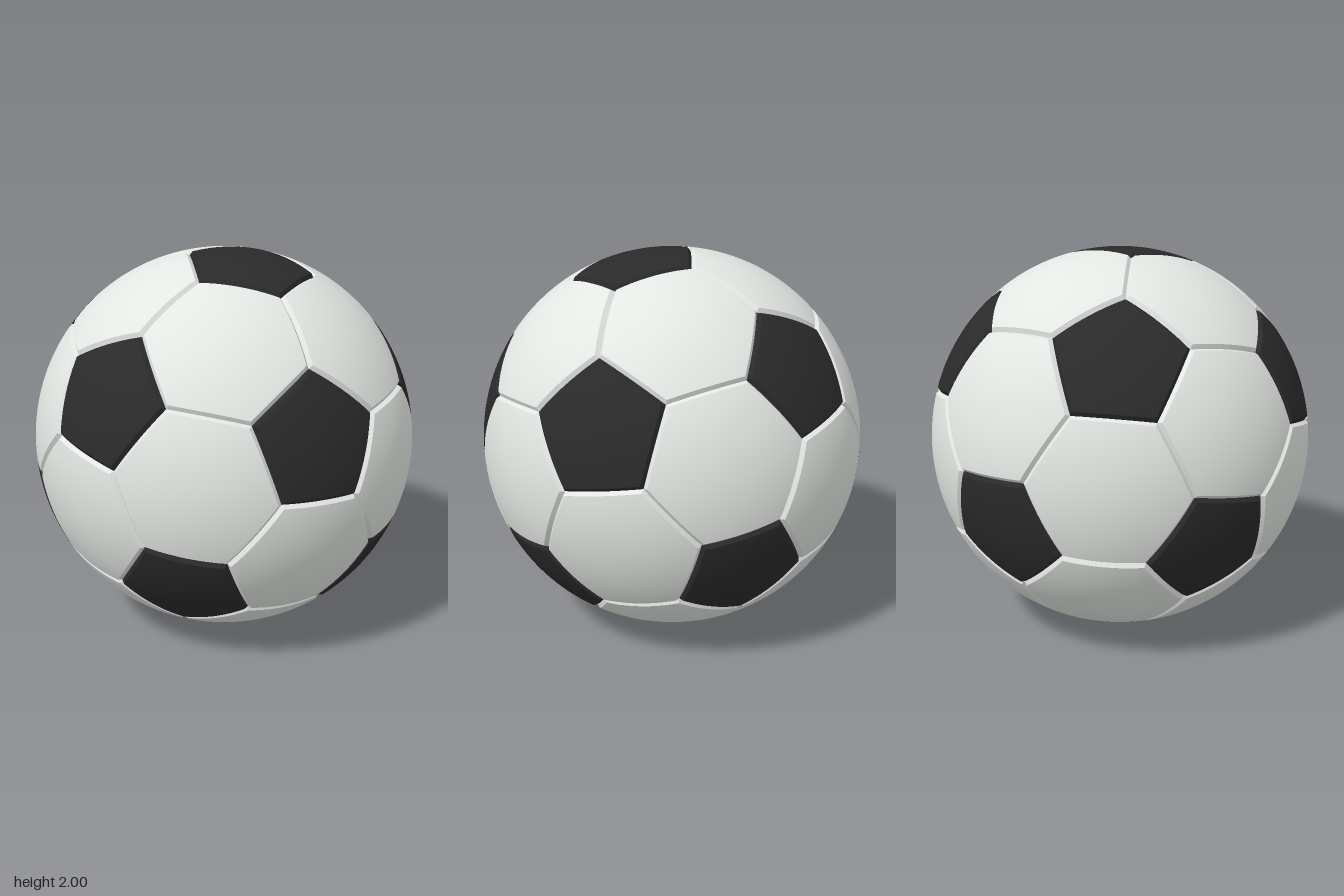
import * as THREE from 'three';
import { mergeGeometries } from 'three/addons/utils/BufferGeometryUtils.js';

const PHI = (1 + Math.sqrt(5)) / 2;
const GROOVE_HALF = 0.018, GROOVE_DEPTH = 0.018;
const STEPS = 10; // subdivisions along each panel side

// Twelve icosahedron vertices, tilted to the resting pose of the ball
function icosahedronVertices() {
  const u = new THREE.Vector3(0.1364, 0.83, 0.541).normalize();
  const v = new THREE.Vector3(0.147, 0.523, -0.84);
  v.addScaledVector(u, -v.dot(u)).normalize();
  const pose = new THREE.Matrix4().makeBasis(v.clone().cross(u), v, u);
  const verts = [];
  for (const a of [1, -1]) for (const b of [PHI, -PHI]) {
    verts.push([0, a, b], [a, b, 0], [b, 0, a]);
  }
  return verts.map(p => new THREE.Vector3(...p).normalize().applyMatrix4(pose));
}

// Corners sorted counter-clockwise around the outward direction
function sortAround(center, corners) {
  const x = corners[0].clone().addScaledVector(center, -corners[0].dot(center)).normalize();
  const y = center.clone().cross(x);
  const angle = p => Math.atan2(p.dot(y), p.dot(x));
  return corners.slice().sort((p, q) => angle(p) - angle(q));
}

// Curved strip of one panel side; each ring is [fraction from centre to seam, radius]
function sideStrip(center, from, to, rings, spherical) {
  const pos = [], nor = [], index = [];
  rings.forEach(([t, r], i) => {
    for (let j = 0; j <= STEPS; j++) {
      const p = center.clone().lerp(from.clone().lerp(to, j / STEPS), t).normalize();
      nor.push(p.x, p.y, p.z);
      p.multiplyScalar(r);
      pos.push(p.x, p.y, p.z);
      if (i === 0 || j === STEPS) continue;
      const o = i * (STEPS + 1) + j, n = o - STEPS - 1;
      if (rings[i - 1][0] > 0) index.push(n, o + 1, n + 1);
      index.push(n, o, o + 1);
    }
  });
  const g = new THREE.BufferGeometry();
  g.setAttribute('position', new THREE.Float32BufferAttribute(pos, 3));
  g.setAttribute('normal', new THREE.Float32BufferAttribute(nor, 3));
  g.setIndex(index);
  if (!spherical) g.computeVertexNormals();
  return g;
}

// One stitched panel: spherical cap plus a bevel running down into the seam
function panelGeometry(corners) {
  const center = new THREE.Vector3();
  corners.forEach(c => center.add(c));
  center.divideScalar(corners.length);
  const sorted = sortAround(center.clone().normalize(), corners);
  const apothem = sorted[0].clone().add(sorted[1]).multiplyScalar(0.5).distanceTo(center);
  const edge = 1 - GROOVE_HALF / apothem;
  const cap = [];
  for (let i = 0; i <= STEPS; i++) cap.push([edge * i / STEPS, 1]);
  const bevel = [[edge, 1], [1, 1 - GROOVE_DEPTH]];
  const parts = [];
  sorted.forEach((a, k) => {
    const b = sorted[(k + 1) % sorted.length];
    parts.push(sideStrip(center, a, b, cap, true), sideStrip(center, a, b, bevel, false));
  });
  return mergeGeometries(parts);
}

export function createModel() {
  const white = new THREE.MeshStandardMaterial({ color: 0xe4e8e4 });
  white.name = 'white leather';
  const black = new THREE.MeshStandardMaterial({ color: 0x2a2a2a });
  black.name = 'black leather';

  const ball = new THREE.Group();
  ball.name = 'ball';
  ball.position.y = 1;

  const verts = icosahedronVertices();
  const near = (a, b) => a !== b && a.dot(b) > 0.4;
  const corner = (a, b) => a.clone().multiplyScalar(2).add(b).normalize();
  const addPanel = (name, corners, material) => {
    const mesh = new THREE.Mesh(panelGeometry(corners), material);
    mesh.name = name;
    ball.add(mesh);
  };

  // Black pentagons, one at each vertex
  verts.forEach((a, i) => {
    const corners = verts.filter(b => near(a, b)).map(b => corner(a, b));
    addPanel(`pentagonPanel${i + 1}`, corners, black);
  });

  // White hexagons, one on each triangle of neighbouring vertices
  let count = 0;
  verts.forEach((a, i) => verts.forEach((b, j) => verts.forEach((c, k) => {
    if (!(i < j && j < k && near(a, b) && near(b, c) && near(a, c))) return;
    const corners = [[a, b], [b, a], [b, c], [c, b], [c, a], [a, c]].map(p => corner(...p));
    addPanel(`hexagonPanel${++count}`, corners, white);
  })));

  const model = new THREE.Group();
  model.name = 'football';
  model.add(ball);
  return model;
}
